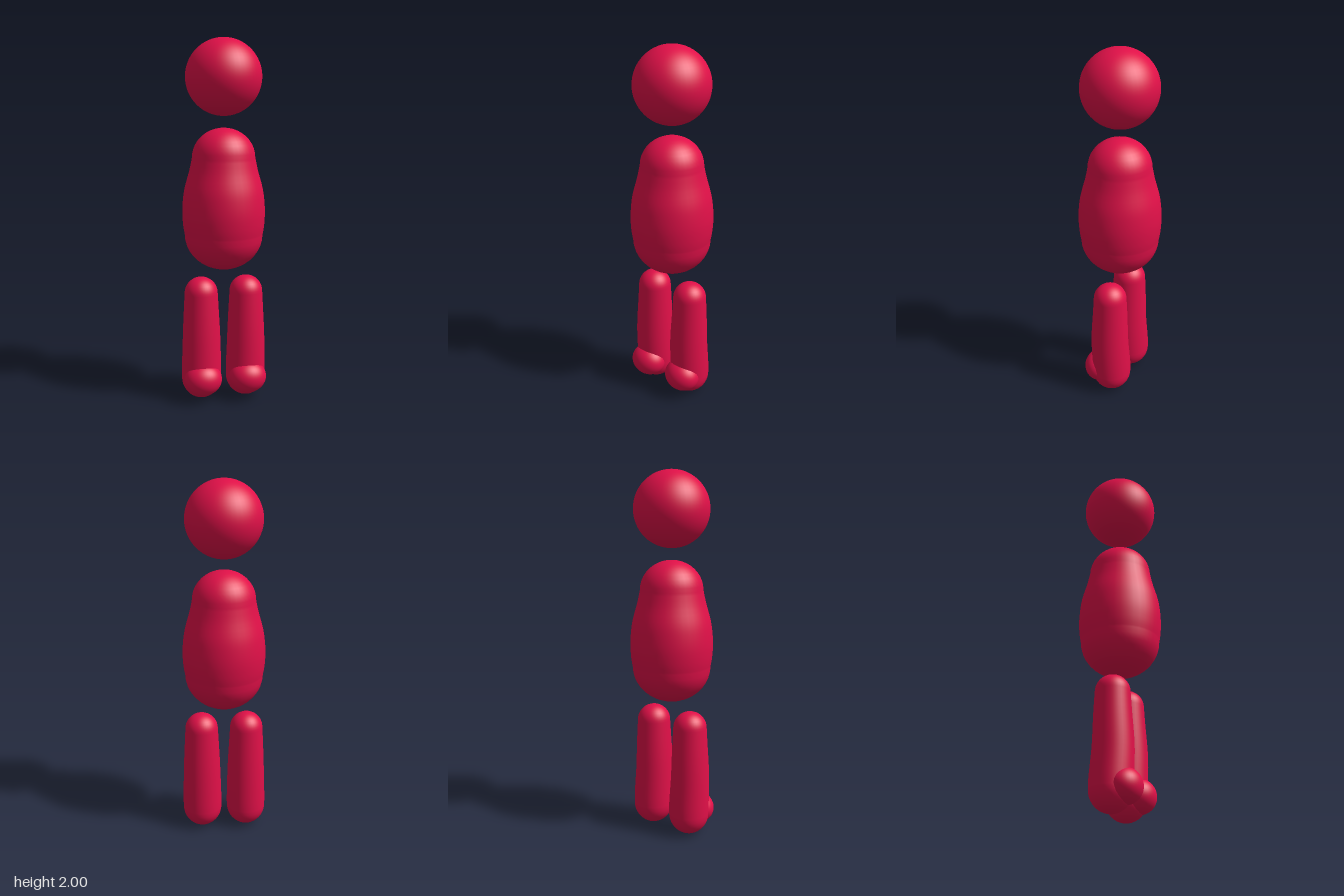
import * as THREE from 'three';

const red = new THREE.MeshStandardMaterial({ color: 0xe01048 });
red.name = 'crimson';

// Rounded body of revolution: bottom cap, smooth side through points, top cap.
// sides are [radius, y] pairs listed from bottom to top.
function roundedLathe(bottomY, sides, topY, segments) {
  const points = [];
  const capSteps = 10;
  const [r0, y0] = sides[0];
  const [r1, y1] = sides[sides.length - 1];
  for (let i = 0; i < capSteps; i++) {
    const a = (i / capSteps) * Math.PI / 2;
    points.push(new THREE.Vector2(r0 * Math.sin(a), y0 - (y0 - bottomY) * Math.cos(a)));
  }
  const curve = new THREE.SplineCurve(sides.map(([r, y]) => new THREE.Vector2(r, y)));
  points.push(...curve.getPoints(20));
  for (let i = 1; i <= capSteps; i++) {
    const a = (i / capSteps) * Math.PI / 2;
    points.push(new THREE.Vector2(Math.max(0, r1 * Math.cos(a)), y1 + (topY - y1) * Math.sin(a)));
  }
  return new THREE.LatheGeometry(points, segments);
}

function addMesh(parent, geometry, name) {
  const mesh = new THREE.Mesh(geometry, red);
  mesh.name = name;
  parent.add(mesh);
  return mesh;
}

// Leg: tapered capsule with a slight backward sweep towards the heel
function legGeometry() {
  const geo = roundedLathe(0.005, [[0.111, 0.12], [0.111, 0.18], [0.107, 0.32], [0.102, 0.44], [0.092, 0.62]], 0.71, 40);
  const pos = geo.attributes.position;
  for (let i = 0; i < pos.count; i++) {
    const y = pos.getY(i);
    const bulge = 0.004 * Math.exp(-(((y - 0.36) / 0.12) ** 2));
    const heel = 0.007 * (1 - THREE.MathUtils.smoothstep(y, 0.12, 0.34));
    pos.setZ(i, pos.getZ(i) + bulge - heel);
  }
  return geo;
}

export function createModel() {
  const model = new THREE.Group();
  model.name = 'figure';

  // Floating head
  addMesh(model, new THREE.SphereGeometry(0.204, 48, 32), 'head').position.y = 1.796;

  // Pear-shaped torso
  addMesh(model, roundedLathe(0.755, [
    [0.214, 0.95], [0.222, 1.0], [0.226, 1.07], [0.222, 1.14], [0.211, 1.21], [0.186, 1.3], [0.171, 1.37],
  ], 1.53, 40), 'torso');

  // Mirrored legs with rounded toes
  const leg = legGeometry();
  for (const [side, x] of [['left', 0.127], ['right', -0.127]]) {
    const group = new THREE.Group();
    group.name = side + 'Leg';
    group.position.x = x;
    addMesh(group, leg, side + 'Shin');
    const foot = addMesh(group, new THREE.SphereGeometry(1, 40, 28), side + 'Foot');
    foot.scale.set(0.105, 0.091, 0.091);
    foot.position.set(0, 0.134, 0.063);
    model.add(group);
  }
  return model;
}
